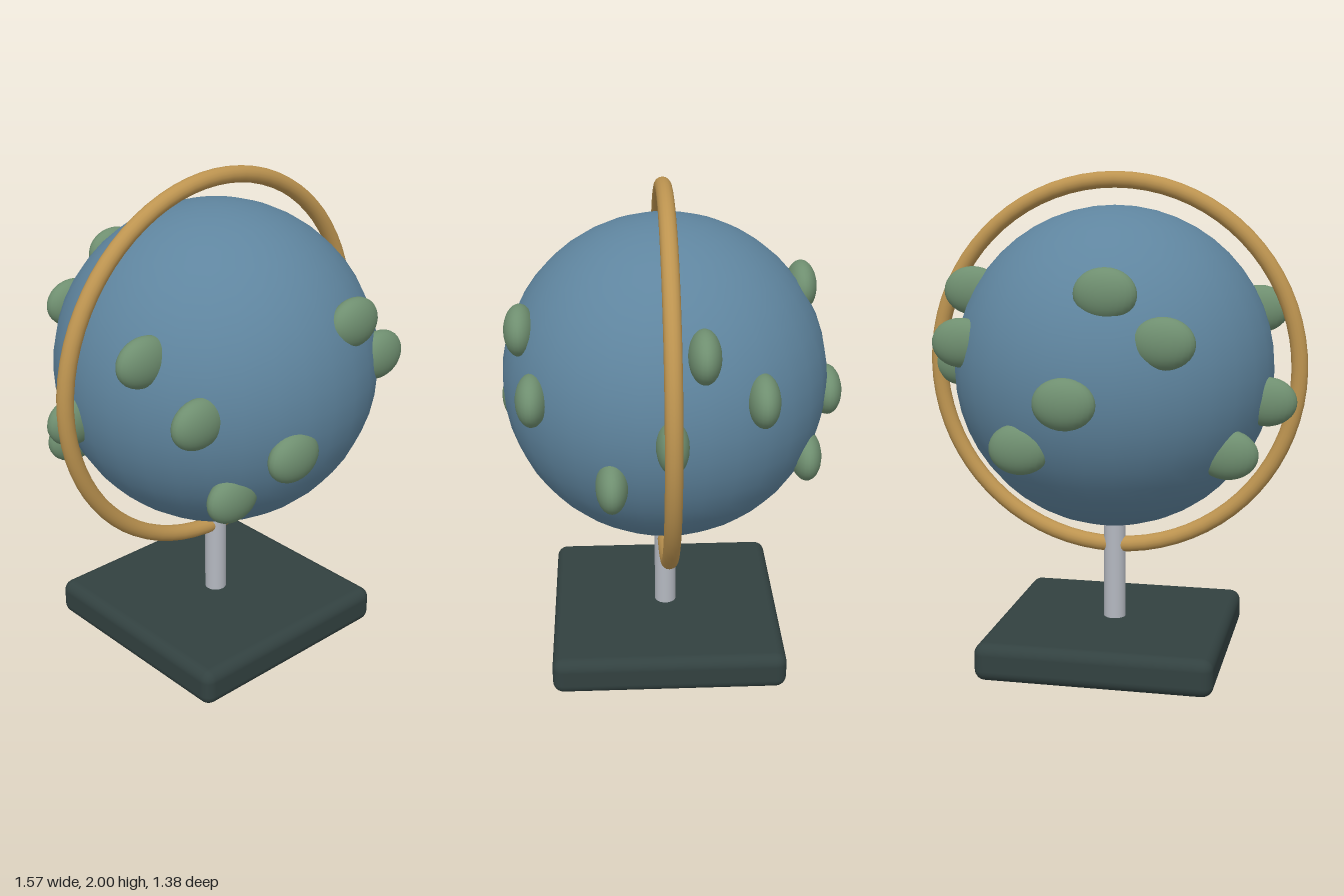
import * as THREE from 'three';
import { RoundedBoxGeometry } from 'three/addons/geometries/RoundedBoxGeometry.js';

const material = (name, color) => {
  const m = new THREE.MeshStandardMaterial({ color });
  m.name = name;
  return m;
};

export function createModel() {
  const ocean = material('ocean blue', 0x5f859f);
  const land = material('land green', 0x6f8f70);
  const brass = material('brass', 0xbd9450);
  const steel = material('steel', 0xb4b8c0);
  const slate = material('dark slate', 0x324140);

  const group = new THREE.Group();
  group.name = 'deskGlobe';
  const add = (name, geometry, mat, x, y, z, parent = group) => {
    const mesh = new THREE.Mesh(geometry, mat);
    mesh.name = name;
    mesh.position.set(x, y, z);
    parent.add(mesh);
    return mesh;
  };

  const zc = 0.017, yc = 1.217, radius = 0.65;

  // Stand
  add('base', new RoundedBoxGeometry(0.96, 0.154, 0.96, 4, 0.045), slate, 0, 0.077, zc);
  add('post', new THREE.CylinderGeometry(0.045, 0.045, 0.5, 24), steel, 0, 0.37, zc);

  // Ball and the ring around it
  add('ball', new THREE.SphereGeometry(radius, 32, 24), ocean, 0, yc, zc);
  add('ring', new THREE.TorusGeometry(0.75, 0.033, 16, 72), brass, 0, yc, zc);

  // Land patches: flattened ellipsoids, [angle around y in degrees, height]
  const patches = [
    [262, 1.56], [348, 1.525], [72, 1.49], [157.5, 1.44],
    [242, 1.385], [328, 1.34], [53, 1.29], [138, 1.24],
    [0, 1.215], [275, 1.165], [190, 1.11], [105.5, 1.065],
    [21, 1.02], [295, 0.97], [210.5, 0.93], [126, 0.89],
  ];
  const lands = new THREE.Group();
  lands.name = 'landPatches';
  group.add(lands);
  const patchGeometry = new THREE.SphereGeometry(1, 24, 16).scale(0.12, 0.098, 0.061);
  patches.forEach(([degrees, y], i) => {
    const a = THREE.MathUtils.degToRad(degrees);
    const r = Math.sqrt(radius ** 2 - (y - yc) ** 2);
    add(`landPatch${i + 1}`, patchGeometry, land, r * Math.cos(a), y, zc + r * Math.sin(a), lands);
  });

  return group;
}
